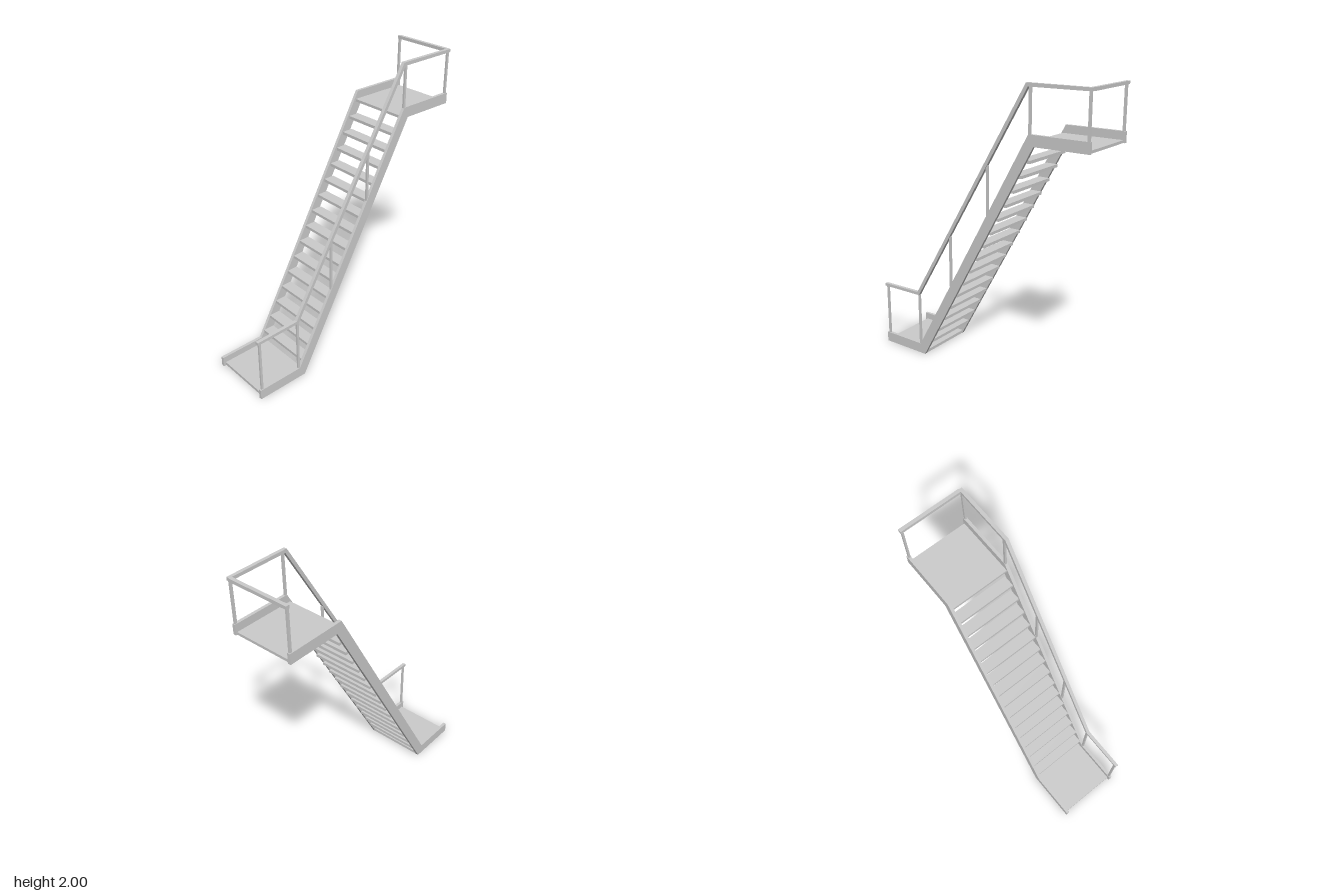
import * as THREE from 'three';

const material = new THREE.MeshStandardMaterial({ color: 0xcccccc, flatShading: true });

export function createModel() {
  const stair = new THREE.Group();
  stair.name = 'staircase';

  const add = (name, geometry) => {
    const mesh = new THREE.Mesh(geometry, material);
    mesh.name = name;
    stair.add(mesh);
    return mesh;
  };

  // Box given by its limits on each axis
  const box = (name, x0, x1, y0, y1, z0, z1) =>
    add(name, new THREE.BoxGeometry(x1 - x0, y1 - y0, z1 - z0))
      .position.set((x0 + x1) / 2, (y0 + y1) / 2, (z0 + z1) / 2);

  // Side profile of [z, y] points, extruded across x from x0 to x1
  const profile = (name, points, x0, x1) => {
    const shape = new THREE.Shape(points.map(([z, y]) => new THREE.Vector2(-z, y)));
    const geometry = new THREE.ExtrudeGeometry(shape, { depth: x1 - x0, bevelEnabled: false });
    geometry.rotateY(Math.PI / 2);
    geometry.translate(x0, 0, 0);
    add(name, geometry);
  };

  // Stringers, running level along both landings
  const stringer = [
    [0.83, 0], [0.46, 0], [-0.447, 1.628], [-0.825, 1.628],
    [-0.825, 1.7], [-0.41, 1.7], [0.5, 0.072], [0.83, 0.072],
  ];
  profile('leftStringer', stringer, 0.204, 0.225);
  profile('rightStringer', stringer, -0.225, -0.204);

  // Landings
  const inner = 0.205;
  box('lowerLanding', -inner, inner, 0.005, 0.026, 0.455, 0.812);
  box('upperLanding', -inner, inner, 1.628, 1.646, -0.815, -0.39);

  // Treads
  const rise = 0.1008, run = 0.0577;
  for (let i = 0; i < 15; i++) {
    const top = 0.127 + i * rise, front = 0.475 - i * run;
    box('tread' + (i + 1), -inner, inner, top - 0.02, top, front - 0.08, front);
  }

  // Handrail on the left side
  profile('handrail', [
    [0.83, 0.445], [0.502, 0.45], [-0.404, 1.977], [-0.825, 1.979],
    [-0.825, 2], [-0.39, 2], [0.516, 0.471], [0.83, 0.465],
  ], 0.202, 0.225);

  // Handrail posts: [z, bottom, top]
  const posts = [
    [0.812, 0.06, 0.455], [0.505, 0.06, 0.457], [0.21, 0.58, 0.945],
    [-0.102, 1.135, 1.47], [-0.415, 1.69, 1.985], [-0.812, 1.69, 1.985],
  ];
  for (const [z, y0, y1] of posts) box('railPost', 0.207, 0.22, y0, y1, z - 0.008, z + 0.008);

  // Guard rail across the back of the upper landing
  box('backRail', -0.225, 0.205, 1.979, 2, -0.829, -0.805);
  box('backRailPost', -0.22, -0.207, 1.69, 1.985, -0.82, -0.804);

  return stair;
}
